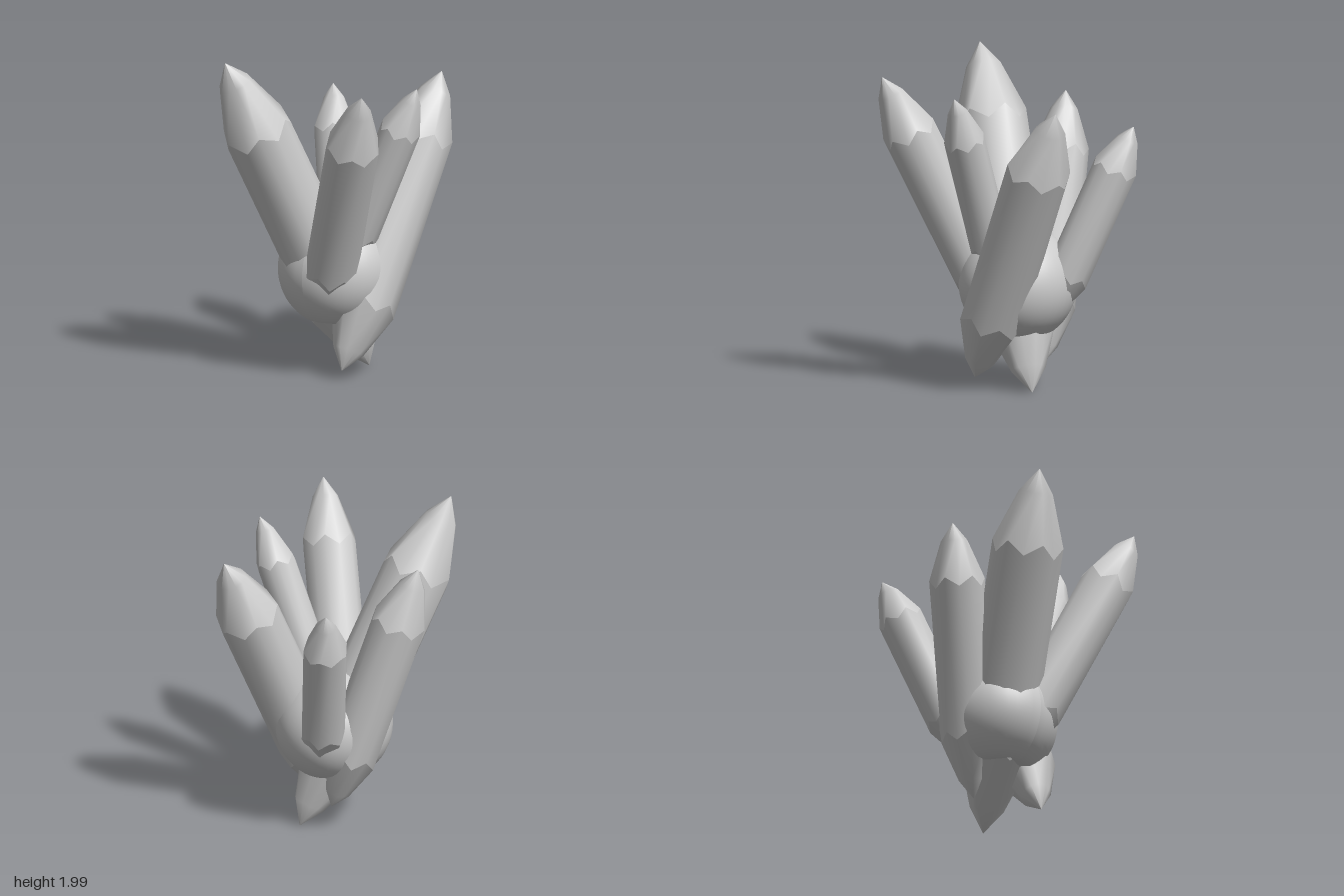
import * as THREE from 'three';
import { mergeGeometries } from 'three/addons/utils/BufferGeometryUtils.js';

const SIDES = 12; // six soft edges with a face centre between each pair

// Closed rings of points joined into one smooth band; ring = [y at edges, y at face centres, radius]
function band(rings) {
  const positions = [];
  const index = [];
  rings.forEach(([yEdge, yFace, r], k) => {
    for (let i = 0; i < SIDES; i++) {
      const a = (i / SIDES) * Math.PI * 2;
      const face = i % 2 === 1;
      const radius = face ? r * 0.95 : r;
      positions.push(Math.sin(a) * radius, face ? yFace : yEdge, Math.cos(a) * radius);
      if (k === 0) continue;
      const j = (i + 1) % SIDES;
      const low = (k - 1) * SIDES;
      const high = k * SIDES;
      index.push(low + i, low + j, high + j, low + i, high + j, high + i);
    }
  });
  const g = new THREE.BufferGeometry();
  g.setAttribute('position', new THREE.Float32BufferAttribute(positions, 3));
  g.setIndex(index);
  g.computeVertexNormals();
  return g;
}

// Double-pointed crystal along y, centred, with scalloped shoulders
function crystalGeometry(length, radius) {
  const h = length / 2;
  const tip = [h, h, 0.002];
  const neck = [h - 0.065 * length, h - 0.068 * length, radius * 0.48];
  const shoulder = [h - 0.205 * length, h - 0.24 * length, radius];
  const flip = ([a, b, r]) => [-a, -b, r];
  return mergeGeometries([
    band([flip(tip), flip(neck), flip(shoulder)]),
    band([flip(shoulder), shoulder]),
    band([shoulder, neck, tip]),
  ]);
}

// Ball with a flattened underside
function coreGeometry(radius, floor) {
  const g = new THREE.SphereGeometry(radius, 40, 32);
  const p = g.attributes.position;
  for (let i = 0; i < p.count; i++) p.setY(i, Math.max(p.getY(i), floor));
  g.computeVertexNormals();
  return g;
}

// name, root point, tip point, radius, turn about own axis
const CRYSTALS = [
  ['backRightLargeCrystal', [0.23, 0.01, 0.085], [-0.655, 2.0, -0.34], 0.217, 0.2],
  ['frontLeftCrystal', [-0.17, 0.07, 0.175], [0.66, 1.78, 0.31], 0.198, 0.5],
  ['frontRightCrystal', [-0.085, 0.34, -0.03], [-0.54, 1.9, 0.595], 0.168, 0.1],
  ['frontSmallCrystal', [-0.045, 0.62, 0.08], [0.055, 1.83, 0.57], 0.123, 0.4],
  ['backCrystal', [0.14, 0.155, -0.09], [-0.13, 1.74, -0.55], 0.168, 0.3],
  ['backLeftCrystal', [0.2, 0.44, -0.075], [0.57, 1.61, -0.435], 0.137, 0],
];

export function createModel() {
  const group = new THREE.Group();
  group.name = 'crystalCluster';
  const material = new THREE.MeshStandardMaterial({ color: 0xcccccc });

  // Round core that the crystals grow from
  const core = new THREE.Mesh(coreGeometry(0.357, -0.305), material);
  core.name = 'core';
  core.position.set(0.02, 0.643, 0);
  group.add(core);

  // Crystals, each stretched from its root to its tip
  const up = new THREE.Vector3(0, 1, 0);
  for (const [name, root, tip, radius, turn] of CRYSTALS) {
    const from = new THREE.Vector3(...root);
    const to = new THREE.Vector3(...tip);
    const axis = to.clone().sub(from);
    const crystal = new THREE.Mesh(crystalGeometry(axis.length(), radius), material);
    crystal.name = name;
    crystal.position.copy(from).lerp(to, 0.5);
    crystal.quaternion.setFromUnitVectors(up, axis.normalize());
    crystal.rotateY(turn);
    group.add(crystal);
  }
  return group;
}
